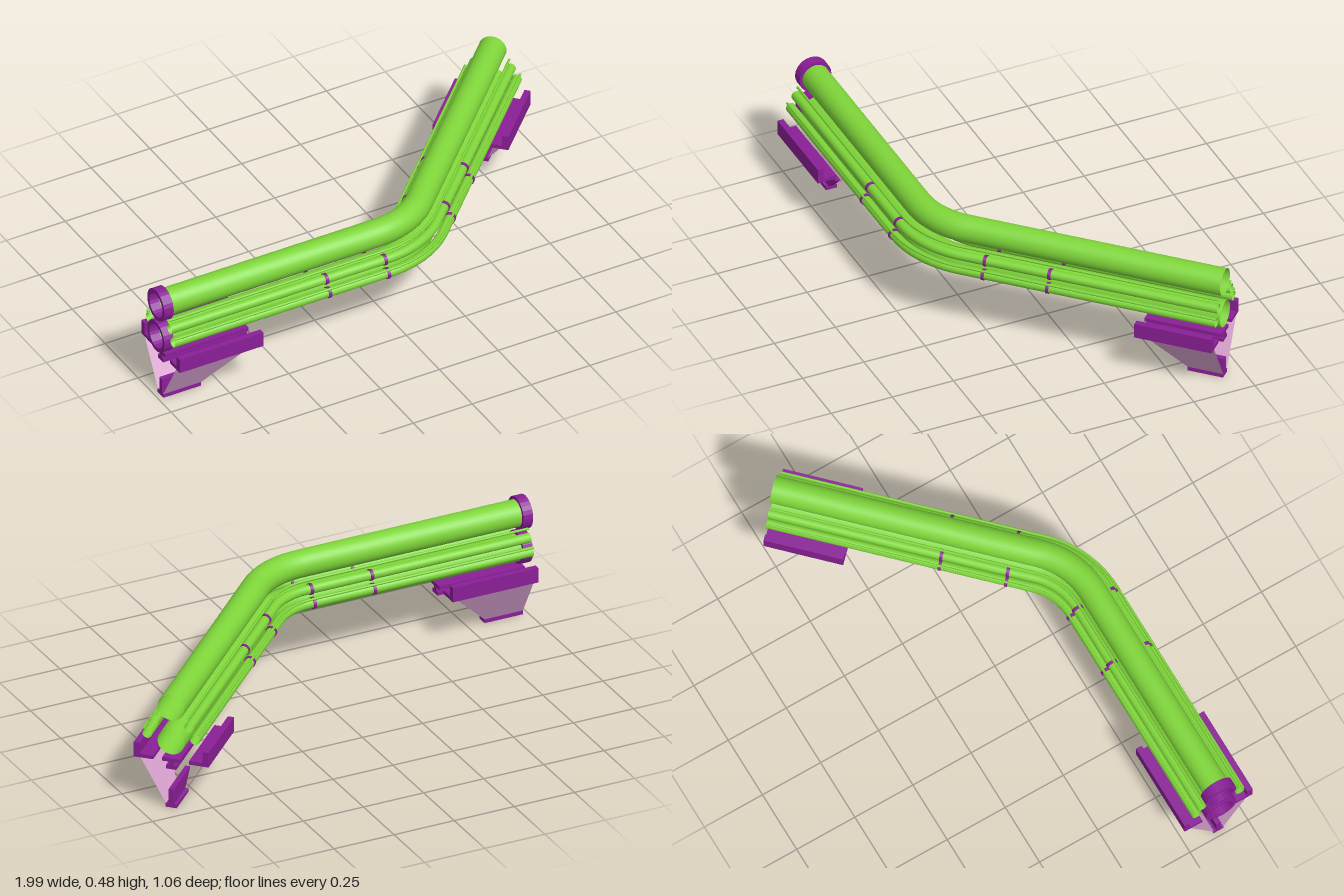
import * as THREE from 'three';

const mat = (color) => new THREE.MeshStandardMaterial({ color, side: THREE.DoubleSide });
const GREEN = mat(0x7fd63a), PURPLE = mat(0x8a1f96), PINK = mat(0xd9a3d0);

// Centre line of the bundle: straight, 45 degree bend, straight
const START = -0.98, BEND = -0.06, Z0 = 0.385, R = 0.326, END = new THREE.Vector2(0.8875, -0.43);
const CLEAR = 0.05;
function station(x, z, a) {
  return { x, z, a };
}
function arcStation(a) {
  return station(BEND + R * Math.sin(a), Z0 - R + R * Math.cos(a), a);
}
function pathStations() {
  const list = [station(START, Z0, 0), station(BEND - CLEAR, Z0, 0)];
  for (let i = 0; i <= 12; i++) list.push(arcStation((i / 12) * Math.PI / 4));
  const last = list[list.length - 1];
  const c = CLEAR * Math.SQRT1_2;
  list.push(station(last.x + c, last.z - c, Math.PI / 4), station(END.x, END.y, Math.PI / 4));
  return list;
}

// Round tube swept along the path at side offset d and height y
function sweepTube(d, y, r, sides) {
  const pos = [], index = [], stations = pathStations();
  stations.forEach((s, i) => {
    for (let j = 0; j < sides; j++) {
      const t = (j / sides) * Math.PI * 2;
      const off = d + r * Math.cos(t);
      pos.push(s.x + off * Math.sin(s.a), y + r * Math.sin(t), s.z + off * Math.cos(s.a));
      if (i < stations.length - 1) {
        const k = (j + 1) % sides, a = i * sides + j, b = i * sides + k;
        index.push(a, a + sides, b, b, a + sides, b + sides);
      }
    }
  });
  const g = new THREE.BufferGeometry();
  g.setAttribute('position', new THREE.Float32BufferAttribute(pos, 3));
  g.setIndex(index);
  g.computeVertexNormals();
  return g;
}

// Flat ring with a hole, its axis along x
function ringGeometry(inner, outer, width) {
  const s = new THREE.Shape().absarc(0, 0, outer, 0, Math.PI * 2);
  s.holes.push(new THREE.Path().absarc(0, 0, inner, 0, Math.PI * 2, true));
  const g = new THREE.ExtrudeGeometry(s, { depth: width, bevelEnabled: false, curveSegments: 12 });
  return g.translate(0, 0, -width / 2).rotateY(Math.PI / 2);
}

function add(parent, name, geometry, material) {
  const m = new THREE.Mesh(geometry, material);
  m.name = name;
  parent.add(m);
  return m;
}

function box(parent, name, x0, x1, y0, y1, z0, z1, material = PURPLE) {
  const m = add(parent, name, new THREE.BoxGeometry(x1 - x0, y1 - y0, z1 - z0), material);
  m.position.set((x0 + x1) / 2, (y0 + y1) / 2, (z0 + z1) / 2);
}

// Thin quad from four corners
function quad(corners) {
  const g = new THREE.BufferGeometry();
  g.setAttribute('position', new THREE.Float32BufferAttribute(corners.flat(), 3));
  g.setIndex([0, 1, 2, 0, 2, 3]);
  g.computeVertexNormals();
  return g;
}

// V-shaped support; local x runs inward from the end of the bundle
function createSupport(length, foot) {
  const g = new THREE.Group();
  for (const s of [1, -1]) {
    const span = (a, b) => (s > 0 ? [a, b] : [-b, -a]);
    box(g, 'railWall', 0, length, 0.19, 0.25, ...span(0.122, 0.146));
    box(g, 'railFlange', 0, length, 0.19, 0.205, ...span(0.07, 0.122));
    const plate = [[0, 0.2, s * 0.124], [0, 0.015, s * 0.02], [foot, 0.015, s * 0.02], [length - 0.01, 0.2, s * 0.124]];
    add(g, 'sidePlate', quad(s > 0 ? plate : plate.reverse()), PINK);
  }
  // Beam under the bundle
  box(g, 'beamTop', 0, length, 0.19, 0.205, -0.035, 0.035);
  box(g, 'beamWeb', 0, length, 0.175, 0.19, -0.009, 0.009);
  box(g, 'beamBottom', 0, length, 0.16, 0.175, -0.02, 0.02);
  // Foot with a tapered web
  box(g, 'footPad', 0, foot, 0, 0.015, -0.022, 0.022);
  const web = new THREE.Shape([[0, 0.015], [foot, 0.015], [foot + 0.06, 0.075], [0, 0.075]]
    .map(([x, y]) => new THREE.Vector2(x, y)));
  const webGeo = new THREE.ExtrudeGeometry(web, { depth: 0.02, bevelEnabled: false }).translate(0, 0, -0.01);
  add(g, 'footWeb', webGeo, PURPLE);
  return g;
}

export function createModel() {
  const model = new THREE.Group();
  model.name = 'pipeBundle';

  // Two large central pipes with end flanges
  for (const y of [0.417, 0.275]) {
    add(model, 'mainPipe', sweepTube(0, y, 0.053, 28), GREEN);
    const flange = add(model, 'endFlange', ringGeometry(0.05, 0.065, 0.04), PURPLE);
    flange.position.set(-0.98, y, Z0);
  }

  // Small side pipes, thin cables and clamp rings, mirrored
  const sidePipes = [[0.07, 0.342], [0.093, 0.295]];
  const cables = [[0.064, 0.377], [0.106, 0.317]];
  const clamps = [station(-0.32, Z0, 0), station(-0.07, Z0, 0),
    station(0.24, 0.22, Math.PI / 4), station(0.42, 0.04, Math.PI / 4)];
  for (const s of [1, -1]) {
    for (const [d, y] of sidePipes) {
      add(model, 'sidePipe', sweepTube(s * d, y, 0.019, 16), GREEN);
      for (const c of clamps) {
        const ring = add(model, 'clampRing', ringGeometry(0.018, 0.022, 0.012), PURPLE);
        ring.position.set(c.x + s * d * Math.sin(c.a), y, c.z + s * d * Math.cos(c.a));
        ring.rotation.y = c.a;
      }
    }
    for (const [d, y] of cables) add(model, 'cable', sweepTube(s * d, y, 0.005, 8), GREEN);
  }

  // Supports at both ends
  const rightSupport = createSupport(0.355, 0.16);
  rightSupport.name = 'rightSupport';
  rightSupport.position.set(START, 0, Z0);
  const leftSupport = createSupport(0.305, 0.14);
  leftSupport.name = 'leftSupport';
  leftSupport.position.set(END.x, 0, END.y);
  leftSupport.rotation.y = -3 * Math.PI / 4;
  model.add(rightSupport, leftSupport);
  return model;
}
